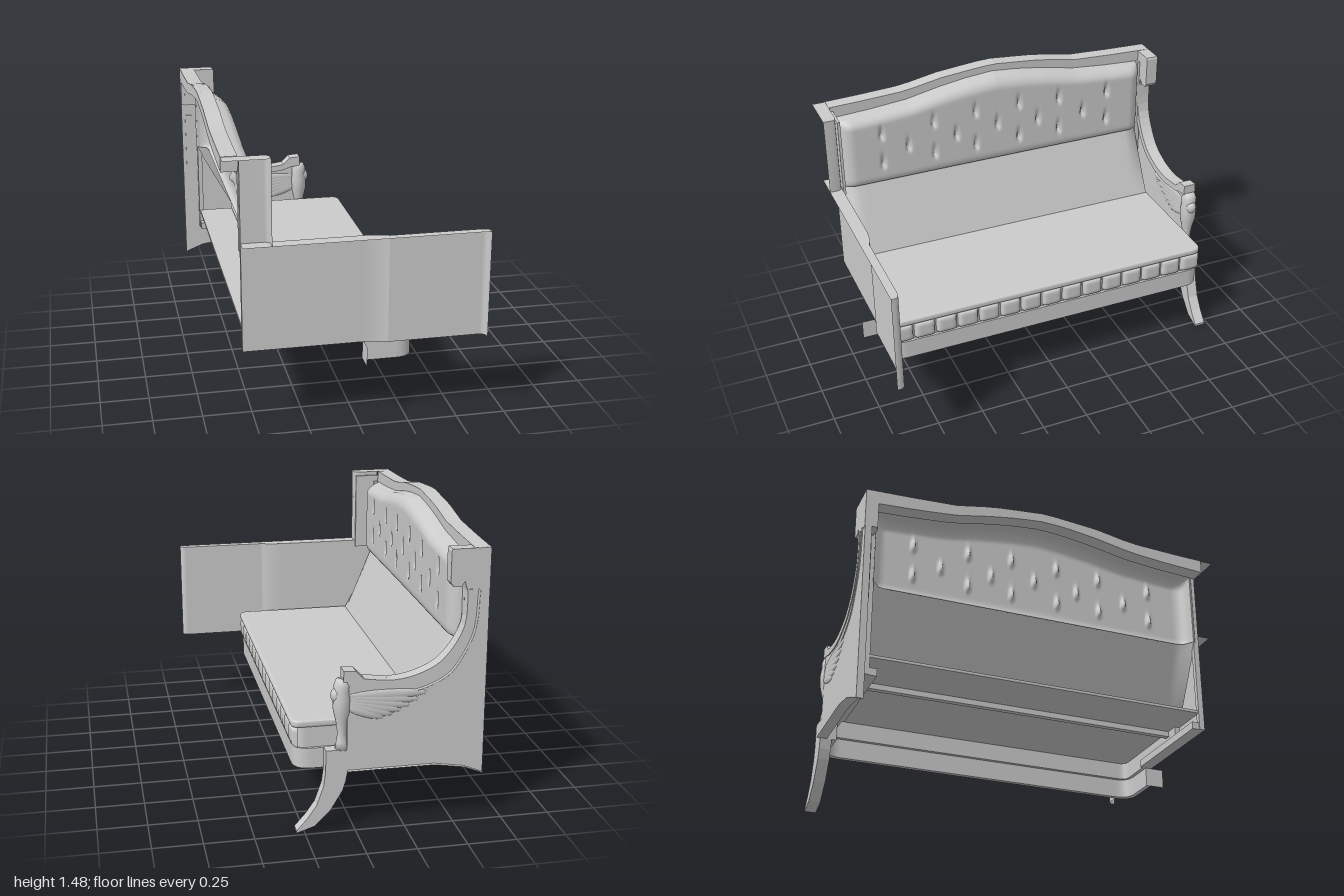
import * as THREE from 'three';

const mat = new THREE.MeshStandardMaterial({ color: 0xcccccc, side: THREE.DoubleSide });

function add(parent, name, geo, x = 0, y = 0, z = 0) {
  const m = new THREE.Mesh(geo, mat);
  m.name = name;
  m.position.set(x, y, z);
  parent.add(m);
  return m;
}

// Box given by its min and max corners
function box(parent, name, x0, x1, y0, y1, z0, z1) {
  return add(parent, name, new THREE.BoxGeometry(x1 - x0, y1 - y0, z1 - z0),
    (x0 + x1) / 2, (y0 + y1) / 2, (z0 + z1) / 2);
}

const pts = (list) => list.map(([a, b]) => new THREE.Vector2(a, b));

// Side profile in x, y given thickness along z
function profile(parent, name, list, z0, z1) {
  const geo = new THREE.ExtrudeGeometry(new THREE.Shape(pts(list)), { depth: z1 - z0, bevelEnabled: false });
  return add(parent, name, geo, 0, 0, z0);
}

// Sheet made from a rule (u, v) -> [x, y, z]
function sheet(parent, name, nu, nv, rule) {
  const pos = [], idx = [];
  for (let j = 0; j <= nv; j++) for (let i = 0; i <= nu; i++) pos.push(...rule(i / nu, j / nv));
  for (let j = 0; j < nv; j++) for (let i = 0; i < nu; i++) {
    const a = j * (nu + 1) + i, b = a + nu + 1;
    idx.push(a, b, a + 1, b, b + 1, a + 1);
  }
  const geo = new THREE.BufferGeometry();
  geo.setAttribute('position', new THREE.Float32BufferAttribute(pos, 3));
  geo.setIndex(idx);
  geo.computeVertexNormals();
  return add(parent, name, geo);
}

// Plan outline in x, z with rounded front corners
function plan(x0, x1, w, r) {
  const s = new THREE.Shape();
  s.moveTo(x0, -w);
  s.lineTo(x1 - r, -w);
  s.quadraticCurveTo(x1, -w, x1, -w + r);
  s.lineTo(x1, w - r);
  s.quadraticCurveTo(x1, w, x1 - r, w);
  s.lineTo(x0, w);
  s.closePath();
  return s;
}

function planSlab(parent, name, shape, y0, y1, bevel = 0) {
  const geo = new THREE.ExtrudeGeometry(shape, {
    depth: y1 - y0 - 2 * bevel, bevelEnabled: bevel > 0, bevelSize: bevel,
    bevelThickness: bevel, bevelOffset: -bevel, bevelSegments: 3,
  });
  geo.rotateX(Math.PI / 2);
  return add(parent, name, geo, 0, y1 - bevel, 0);
}

// U-shaped wall, open at the back
function planWall(parent, name, x0, x1, w, r, t, y0, y1) {
  const outer = plan(x0, x1, w, r).getPoints(10).slice(0, -1);
  const inner = plan(x0, x1 - t, w - t, r * 0.9).getPoints(10).slice(0, -1).reverse();
  return planSlab(parent, name, new THREE.Shape([...outer, ...inner]), y0, y1);
}

// Linear lookup along a short list of [z, y] pairs, mirrored in z
function lookup(list, z) {
  const t = Math.abs(z);
  for (let i = 1; i < list.length; i++) {
    const [a, ya] = list[i - 1], [b, yb] = list[i];
    if (t <= b) return ya + (yb - ya) * (t - a) / (b - a);
  }
  return list[list.length - 1][1];
}
const railTop = [[0, 1.485], [0.15, 1.472], [0.3, 1.458], [0.5, 1.42], [0.75, 1.408], [1, 1.4]];
const cushionTop = [[0, 1.445], [0.15, 1.432], [0.3, 1.41], [0.5, 1.37], [0.7, 1.352], [1, 1.335]];

function buildSeat(g) {
  planWall(g, 'skirt', 0.035, 0.29, 0.92, 0.09, 0.025, 0.315, 0.42);
  planWall(g, 'seatRim', -0.35, 0.275, 0.905, 0.05, 0.03, 0.42, 0.53);
  // Thin seat board carried on a crossbar
  planSlab(g, 'seatBoard', plan(-0.56, 0.275, 0.905, 0.05), 0.515, 0.53);
  box(g, 'crossbar', -0.28, -0.25, 0.485, 0.515, -0.9, 0.9);
  planSlab(g, 'seatCushion', plan(-0.37, 0.3, 0.912, 0.05), 0.525, 0.562, 0.012);
  // Padded flutes along the front edge
  const n = 15, pitch = 1.82 / n;
  for (let i = 0; i < n; i++) {
    const z = -0.91 + (i + 0.5) * pitch;
    const w = pitch / 2 - 0.001;
    sheet(g, 'flute', 10, 10, (u, v) => {
      const e = (1 - Math.pow(2 * u - 1, 8)) * (1 - Math.pow(2 * v - 1, 8));
      return [0.27 + 0.028 * e, 0.42 + 0.108 * v, z + w - 2 * w * u];
    });
  }
}

function buildBack(g) {
  // Arched top rail
  const outline = [];
  for (let i = 0; i <= 24; i++) { const z = -0.98 + i * 1.91 / 24; outline.push([z, lookup(railTop, z)]); }
  for (let i = 24; i >= 0; i--) { const z = -0.98 + i * 1.91 / 24; outline.push([z, lookup(cushionTop, z) - 0.01]); }
  const rail = new THREE.ExtrudeGeometry(new THREE.Shape(pts(outline)), { depth: 0.08, bevelEnabled: false });
  rail.rotateY(-Math.PI / 2);
  add(g, 'topRail', rail, -0.57, 0, 0);

  // Tufted upper cushion with staggered pleats
  const tufts = [[0, 1.15]];
  for (const s of [-1, 1]) {
    tufts.push([0.245 * s, 1.13], [0.525 * s, 1.12]);
    for (const [z, y] of [[0.13, 1.25], [0.375, 1.235], [0.675, 1.22]]) tufts.push([z * s, y], [z * s, 1.045]);
  }
  const round = (t) => Math.sqrt(Math.max(0, t * (2 - t)));
  sheet(g, 'tuftedCushion', 220, 50, (u, v) => {
    const z = 0.905 - 1.81 * u;
    const y = 0.93 + (lookup(cushionTop, z) - 0.93) * v;
    const side = round(Math.min(1, (0.905 - Math.abs(z)) / 0.08));
    const low = 0.7 + 0.3 * round(Math.min(1, v / 0.12));
    const high = round(Math.min(1, (1 - v) / 0.15));
    let x = -0.572 + 0.092 * side * low * high;
    for (const [tz, ty] of tufts) {
      const dz = (z - tz) / 0.01, dy = (y - ty) / (y > ty ? 0.045 : 0.02);
      x -= 0.03 * Math.exp(-dz * dz - dy * dy);
    }
    return [x, y, z];
  });
  // Sloping lower back with bevelled ends
  sheet(g, 'lowerBack', 40, 8, (u, v) => {
    const z = 0.905 - 1.81 * u;
    const side = round(Math.min(1, (0.905 - Math.abs(z)) / 0.08));
    return [-0.35 - 0.157 * v - 0.065 * v * (1 - side), 0.53 + 0.405 * v, z];
  });
  for (const s of [-1, 1]) {
    box(g, 'backPost', -0.565, -0.54, 0.42, 1.345, s * 0.915 - 0.015, s * 0.915 + 0.015);
    box(g, 'sideBearer', -0.56, 0.035, 0.42, 0.46, s * 0.895 - 0.035, s * 0.895 + 0.035);
  }
}

function buildCarvedArm(parent) {
  const arm = new THREE.Group();
  arm.name = 'carvedArm';
  parent.add(arm);
  const top = new THREE.SplineCurve(pts([[-0.54, 1.2], [-0.53, 1.02], [-0.44, 0.87], [-0.33, 0.8],
    [-0.19, 0.77], [-0.04, 0.785]])).getPoints(20).map((p) => [p.x, p.y]);
  // Side panel with the sweeping top edge and a thin lip along its foot
  const foot = [[-0.65, 0.25], [-0.55, 0.29], [-0.4, 0.315], [0.04, 0.315]];
  profile(arm, 'armPanel', [...foot, [0.04, 0.78],
    ...top.slice().reverse(), [-0.54, 1.39], [-0.65, 1.39]], -0.98, -0.945);
  sheet(arm, 'footLip', 3, 1, (u, v) => [...foot[Math.round(u * 3)], -0.98 - 0.02 * v]);
  // Moulded band along the sweep, ending in a squared tip
  const under = top.map(([x, y], i) => [x - 0.03 * (1 - i / 20), y - 0.035 * Math.min(1, i / 6)]);
  profile(arm, 'armBand', [...top, [0, 0.825], [0.06, 0.83], [0.06, 0.775], [0, 0.765],
    ...under.reverse()], -0.985, -0.915);
  const bead = top.slice(0, 19).map(([x, y], i) =>
    new THREE.Vector3(x - 0.06 * (1 - i / 22), y - 0.075 * Math.min(1, i / 8), -0.979));
  add(arm, 'armBead', new THREE.TubeGeometry(new THREE.CatmullRomCurve3(bead), 30, 0.006, 8));
  profile(arm, 'topBlock', [[-0.65, 1.4], [-0.46, 1.4], [-0.455, 1.39], [-0.455, 1.235], [-0.47, 1.215],
    [-0.51, 1.215], [-0.525, 1.24], [-0.54, 1.19], [-0.65, 1.19]], -0.982, -0.915);
  box(arm, 'postMoulding', -0.63, -0.575, 0.8, 1.12, -0.948, -0.938);
  box(arm, 'postMoulding', -0.63, -0.585, 1.19, 1.375, -0.92, -0.91);

  // Carved bust supporting the arm tip
  add(arm, 'carvedSupport', new THREE.LatheGeometry(pts([[0, 0.42], [0.035, 0.42], [0.028, 0.46],
    [0.022, 0.5], [0.03, 0.56], [0.044, 0.62], [0.046, 0.68], [0.04, 0.72], [0.042, 0.75],
    [0.03, 0.78], [0, 0.78]]), 18), 0.06, 0, -0.95);
  const head = add(arm, 'carvedHead', new THREE.SphereGeometry(0.03, 14, 10), 0.085, 0.7, -0.95);
  head.scale.set(1.1, 1.3, 1);
  // Low-relief feathers on both faces
  for (const z of [-0.979, -0.946]) for (let i = 0; i < 6; i++) {
    const len = 0.2 - 0.02 * i, a = 0.02 + 0.09 * i;
    const f = add(arm, 'feather', new THREE.SphereGeometry(1, 16, 8),
      0.04 - len * Math.cos(a), 0.7 - 0.012 * i - len * Math.sin(a) * 0.6, z);
    f.scale.set(len, 0.026, 0.01);
    f.rotation.z = a * 0.7;
  }
  // Front leg block and sabre leg
  box(arm, 'legBlock', 0.035, 0.145, 0.315, 0.425, -0.98, -0.92);
  const leg = [[0.035, 0.315], [0.045, 0.26], [0.06, 0.21], [0.12, 0.11], [0.2, 0.03], [0.29, 0],
    [0.29, 0.012], [0.235, 0.075], [0.19, 0.14], [0.155, 0.24], [0.145, 0.315]];
  profile(arm, 'frontLeg', leg, -0.98, -0.92);
}

function buildPlainArm(parent) {
  const arm = new THREE.Group();
  arm.name = 'plainArm';
  parent.add(arm);
  // Folded sheet: a path in plan raised from y0 to y1, with a lip turned out to z = 1
  const folded = (name, path, y0, y1) => {
    const n = path.length - 1;
    const at = (u) => path[Math.round(u * n)];
    sheet(arm, name, n, 1, (u, v) => [at(u)[0], y0 + (y1 - y0) * v, at(u)[1]]);
    sheet(arm, name + 'Lip', n, 1, (u, v) => [at(u)[0], y1, at(u)[1] + (1 - at(u)[1]) * v]);
  };
  folded('sidePanel', [[-0.565, 0.93], [0.03, 0.93], [0.08, 0.935], [0.12, 0.943], [0.15, 0.955]], 0.42, 0.975);
  folded('frontPanel', [[0.15, 0.955], [0.615, 0.955], [0.63, 0.959], [0.64, 0.968], [0.645, 0.98], [0.645, 1]], 0.42, 0.975);
  folded('upperPanel', [[-0.565, 0.93], [-0.45, 0.93], [-0.435, 0.935], [-0.425, 0.95], [-0.425, 1]], 0.975, 1.4);
  box(arm, 'upperReturn', -0.565, -0.43, 0.94, 1.38, 0.91, 0.925);
  sheet(arm, 'railLip', 1, 1, (u, v) => [-0.65 + 0.085 * u, 1.4, 0.92 + 0.08 * v]);
  sheet(arm, 'skirtFin', 1, 1, (u, v) => [0.035, 0.315 + 0.105 * v, 0.92 + 0.08 * u]);
}

export function createModel() {
  const sofa = new THREE.Group();
  sofa.name = 'sofa';
  buildSeat(sofa);
  buildBack(sofa);
  buildCarvedArm(sofa);
  buildPlainArm(sofa);
  return sofa;
}
